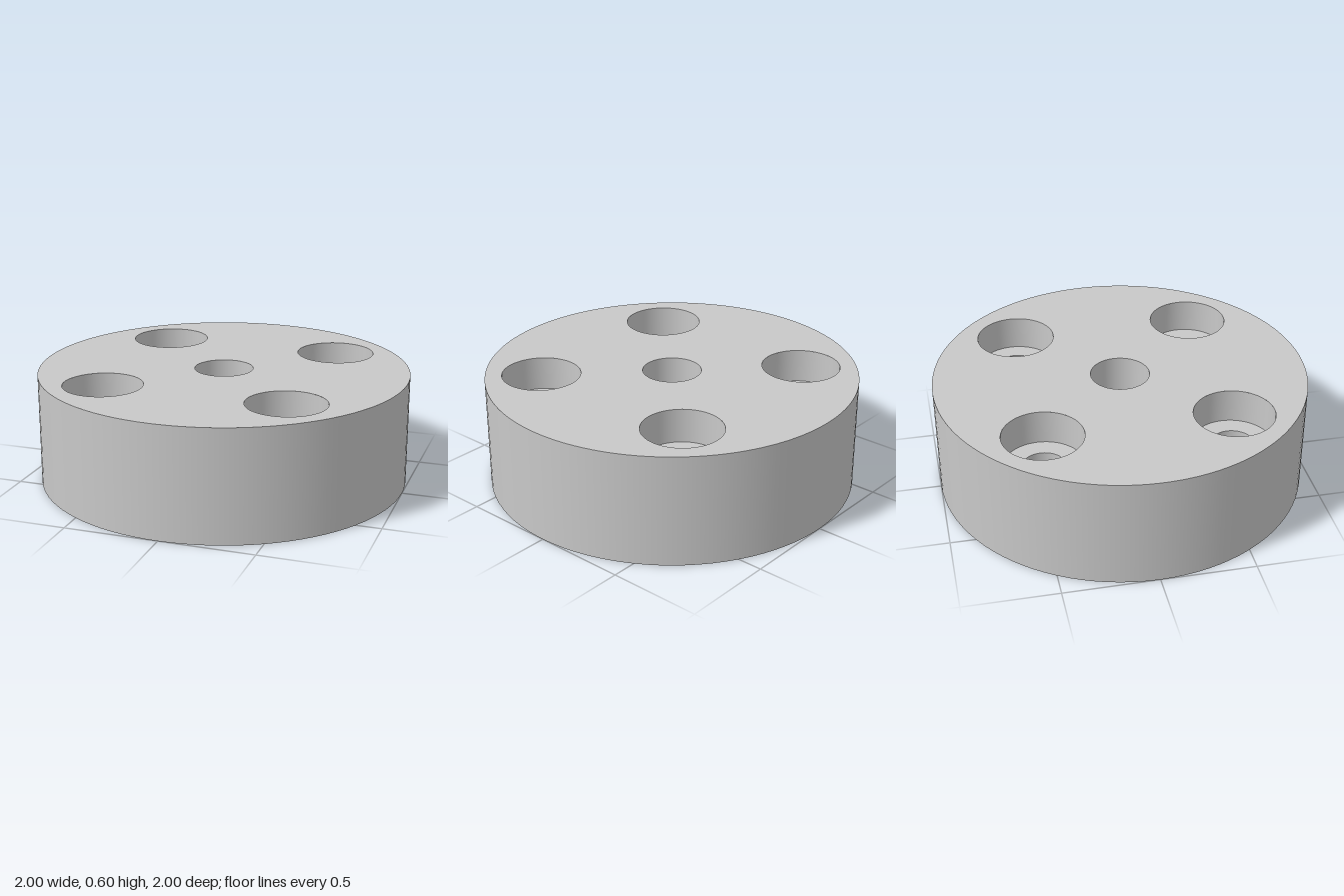
import * as THREE from 'three';
import { mergeGeometries } from 'three/addons/utils/BufferGeometryUtils.js';

const SEGMENTS = 96;
const RADIUS = 1, HEIGHT = 0.6;
const BOLT_OFFSET = 0.495, BOLT_R = 0.112;
const COUNTERBORE_R = 0.211, COUNTERBORE_Y = 0.415;
const CENTRE_R = 0.158, CENTRE_Y = 0.3;

// Revolves each straight piece of a profile on its own, so corners stay sharp
function revolve(profile) {
  const pieces = [];
  for (let i = 0; i < profile.length - 1; i++) {
    const pair = [profile[i], profile[i + 1]].map(([r, y]) => new THREE.Vector2(r, y));
    pieces.push(new THREE.LatheGeometry(pair, SEGMENTS));
  }
  return mergeGeometries(pieces);
}

// Flat round face with circular holes, each given as [x, z, radius]
function roundFace(holes, facing) {
  const shape = new THREE.Shape().absarc(0, 0, RADIUS, 0, Math.PI * 2);
  for (const [x, z, r] of holes) {
    shape.holes.push(new THREE.Path().absarc(x, -facing * z, r, 0, Math.PI * 2, true));
  }
  return new THREE.ShapeGeometry(shape, SEGMENTS).rotateX(-facing * Math.PI / 2);
}

export function createModel() {
  const model = new THREE.Group();
  model.name = 'counterboredDisc';
  const metal = new THREE.MeshStandardMaterial({ color: 0xc8c8c8 });
  metal.name = 'plain grey metal';

  const add = (name, geometry, x = 0, y = 0, z = 0) => {
    const mesh = new THREE.Mesh(geometry, metal);
    mesh.name = name;
    mesh.position.set(x, y, z);
    model.add(mesh);
  };

  const bolts = [];
  for (const x of [-1, 1]) {
    for (const z of [-1, 1]) bolts.push([x * BOLT_OFFSET, z * BOLT_OFFSET]);
  }

  // Disc body: rim wall, top face and bottom face
  add('rimWall', revolve([[RADIUS, 0], [RADIUS, HEIGHT]]));
  const topHoles = bolts.map(([x, z]) => [x, z, COUNTERBORE_R]);
  add('topFace', roundFace([...topHoles, [0, 0, CENTRE_R]], 1), 0, HEIGHT, 0);
  add('bottomFace', roundFace(bolts.map(([x, z]) => [x, z, BOLT_R]), -1));

  // Blind centre hole
  add('centreHole', revolve([[CENTRE_R, HEIGHT], [CENTRE_R, CENTRE_Y], [0, CENTRE_Y]]));

  // Four counterbored through holes
  const bore = revolve([
    [COUNTERBORE_R, HEIGHT], [COUNTERBORE_R, COUNTERBORE_Y],
    [BOLT_R, COUNTERBORE_Y], [BOLT_R, 0],
  ]);
  for (const [x, z] of bolts) add('boltHole', bore, x, 0, z);

  return model;
}
